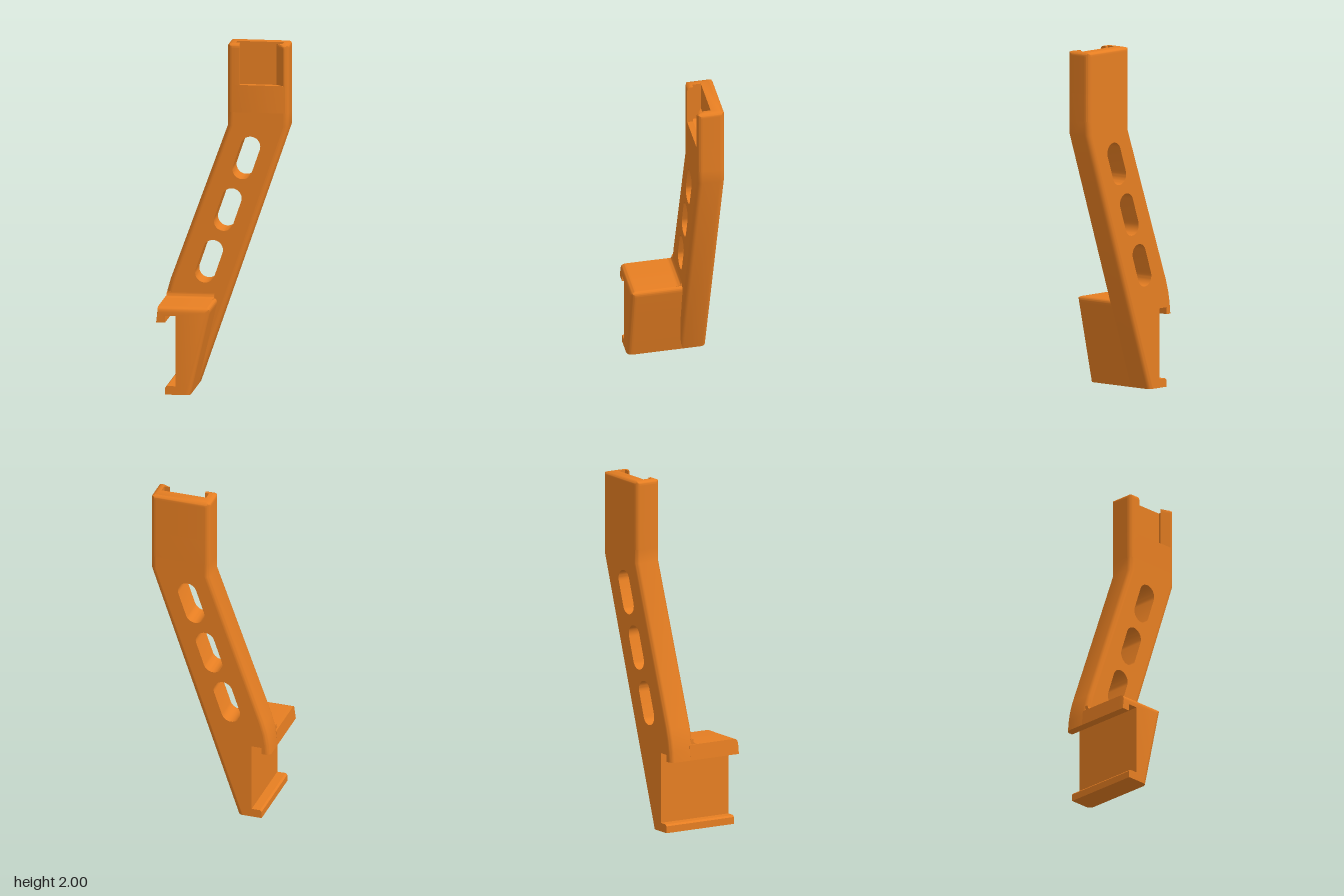
import * as THREE from 'three';
import { toCreasedNormals } from 'three/addons/utils/BufferGeometryUtils.js';

const BACK = -0.23, FRONT = -0.07, R = 0.03;
const material = new THREE.MeshStandardMaterial({ color: 0xe67e22 });

function addPart(group, name, geometry) {
  const mesh = new THREE.Mesh(toCreasedNormals(geometry, 0.6), material);
  mesh.name = name;
  group.add(mesh);
}

const polygon = (pts) => new THREE.Shape(pts.map(([x, y]) => new THREE.Vector2(x, y)));

const extrude = (shape, depth, steps = 1) =>
  new THREE.ExtrudeGeometry(shape, { depth, steps, bevelEnabled: false, curveSegments: 10 });

// Move every vertex of a geometry by a rule
function reshape(geometry, rule) {
  const p = geometry.attributes.position;
  const v = new THREE.Vector3();
  for (let i = 0; i < p.count; i++) {
    rule(v.fromBufferAttribute(p, i));
    p.setXYZ(i, v.x, v.y, v.z);
  }
  return geometry;
}

// Inset of a quarter-round edge, d being the distance from the end face
const roundInset = (d, r) => (d >= r ? 0 : r - Math.sqrt(Math.max(0, r * r - (r - d) ** 2)));

// Solid skin through convex rings that climb in y
function loft(rings) {
  const out = [];
  const tri = (a, b, c) => out.push(...a, ...b, ...c);
  const n = rings[0].length;
  for (let i = 0; i < rings.length - 1; i++) {
    for (let j = 0; j < n; j++) {
      const k = (j + 1) % n;
      tri(rings[i][j], rings[i][k], rings[i + 1][k]);
      tri(rings[i][j], rings[i + 1][k], rings[i + 1][j]);
    }
  }
  const low = rings[0], high = rings[rings.length - 1];
  for (let j = 1; j < n - 1; j++) {
    tri(high[0], high[j], high[j + 1]);
    tri(low[0], low[j + 1], low[j]);
  }
  const g = new THREE.BufferGeometry();
  g.setAttribute('position', new THREE.Float32BufferAttribute(out, 3));
  return g;
}

// Rounded long edge of the arm; side is +1 or -1 along x
function edgeRail(path, side) {
  const profile = [];
  for (let i = 0; i <= 6; i++) {
    const t = (i / 6) * Math.PI / 2;
    profile.push([R * Math.sin(t) - R, FRONT - R + R * Math.cos(t)]);
  }
  for (let i = 0; i <= 6; i++) {
    const t = (i / 6) * Math.PI / 2;
    profile.push([R * Math.cos(t) - R, BACK + R - R * Math.sin(t)]);
  }
  if (side < 0) profile.reverse();
  return loft(path.map(([x, y]) => profile.map(([o, z]) => [x + side * o, y, z])));
}

// Slanted slot with round ends
function slot(cx, cy) {
  const r = 0.057, h = 0.072, a = Math.atan2(1.52, 0.525);
  const dx = h * Math.cos(a), dy = h * Math.sin(a);
  const path = new THREE.Path();
  path.absarc(cx + dx, cy + dy, r, a - Math.PI / 2, a + Math.PI / 2);
  path.absarc(cx - dx, cy - dy, r, a + Math.PI / 2, a + Math.PI * 1.5);
  path.closePath();
  return path;
}

// Outer wall of the socket seen from above, from front right round to front left
function socketWall(shape) {
  const x0 = 0.005, x1 = 0.36, s0 = -FRONT, s1 = -BACK, q = Math.PI / 2;
  shape.absarc(x1 - R, s0 + R, R, -q, 0);
  shape.absarc(x1 - R, s1 - R, R, 0, q);
  shape.absarc(x0 + R, s1 - R, R, q, 2 * q);
  shape.absarc(x0 + R, s0 + R, R, 2 * q, 3 * q);
  return shape;
}

export function createModel() {
  const model = new THREE.Group();
  model.name = 'bracketArm';

  // Long edges, from bottom to top
  const leftPath = [[0.36, 1.6], [0.36, 1.52], [-0.165, 0]].reverse();
  const rightPath = [[-0.362, 0.42], [-0.356, 0.48], [-0.345, 0.545], [-0.325, 0.615], [0.005, 1.52], [0.005, 1.6]];
  addPart(model, 'leftArmEdge', edgeRail(leftPath, 1));
  addPart(model, 'rightArmEdge', edgeRail(rightPath, -1));

  // Jaw: notch between the upper hook and the lower lip
  const jaw = [[-0.31, 0.42], [-0.31, 0.46], [-0.25, 0.46], [-0.25, 0.05], [-0.3, 0.05], [-0.31, 0.04], [-0.31, 0]];

  // Flat web of the arm with three slots
  const web = polygon([
    ...[...rightPath].reverse().map(([x, y]) => [x + R, y]),
    ...jaw,
    ...leftPath.map(([x, y]) => [x - R, y]),
  ]);
  for (let i = 0; i < 3; i++) web.holes.push(slot(0.116 - 0.108 * i, 1.335 - 0.305 * i));
  addPart(model, 'armWeb', extrude(web, FRONT - BACK).translate(0, 0, BACK));

  // Socket base: closed pocket
  const base = socketWall(new THREE.Shape());
  base.closePath();
  base.holes.push(new THREE.Path([[0.05, 0.105], [0.05, 0.155], [0.32, 0.155], [0.32, 0.105]]
    .map(([x, y]) => new THREE.Vector2(x, y))));
  addPart(model, 'socketBase', extrude(base, 0.16).rotateX(-Math.PI / 2).translate(0, 1.6, 0));

  // Socket top: pocket open to the front, with a rounded rim
  const rim = new THREE.Shape();
  rim.moveTo(0.285, -FRONT);
  socketWall(rim);
  [[0.075, 0.07], [0.075, 0.105], [0.05, 0.105], [0.05, 0.155], [0.32, 0.155], [0.32, 0.105], [0.285, 0.105]]
    .forEach(([x, y]) => rim.lineTo(x, y));
  rim.closePath();
  const rimGeometry = extrude(rim, 0.24, 48).rotateX(-Math.PI / 2).translate(0, 1.76, 0);
  addPart(model, 'socketTop', reshape(rimGeometry, (v) => {
    const i = roundInset(2 - v.y, 0.02);
    v.x = THREE.MathUtils.clamp(v.x, 0.005 + i, 0.36 - i);
    v.z = THREE.MathUtils.clamp(v.z, BACK + i, FRONT - i);
  }));

  // Dished pocket floor
  const floor = polygon([[0.05, 1.6], [0.32, 1.6], [0.32, 1.76]]);
  floor.quadraticCurveTo(0.185, 1.62, 0.05, 1.76);
  addPart(model, 'socketFloor', extrude(floor, 0.05).translate(0, 0, -0.155));

  // Clamp block with rounded top and front edges
  const top = 0.51;
  const sideX = (y) => -0.165 + 0.23 * y;
  const block = polygon([...jaw, [-0.165, 0], [sideX(0.475), 0.475]]);
  block.quadraticCurveTo(sideX(top), top, sideX(top) - 0.03, top);
  block.lineTo(-0.354, top);
  block.lineTo(-0.362, 0.42);
  block.closePath();
  const blockGeometry = extrude(block, 0.33, 66).translate(0, 0, -0.1);
  addPart(model, 'clampBlock', reshape(blockGeometry, (v) => {
    const i = roundInset(0.23 - v.z, R);
    v.y = Math.min(v.y, top - i);
    v.x = Math.min(v.x, sideX(v.y) - i);
  }));

  // Fillet where the block top meets the arm
  const fillet = polygon([[0.09, 0.5], [0.09, 0.54], [0.07, 0.54]]);
  fillet.quadraticCurveTo(0.07, 0.51, 0.04, 0.51);
  fillet.lineTo(0.04, 0.5);
  fillet.closePath();
  addPart(model, 'clampFillet', extrude(fillet, 0.275).rotateY(Math.PI / 2).translate(-0.345, 0, 0));

  return model;
}
